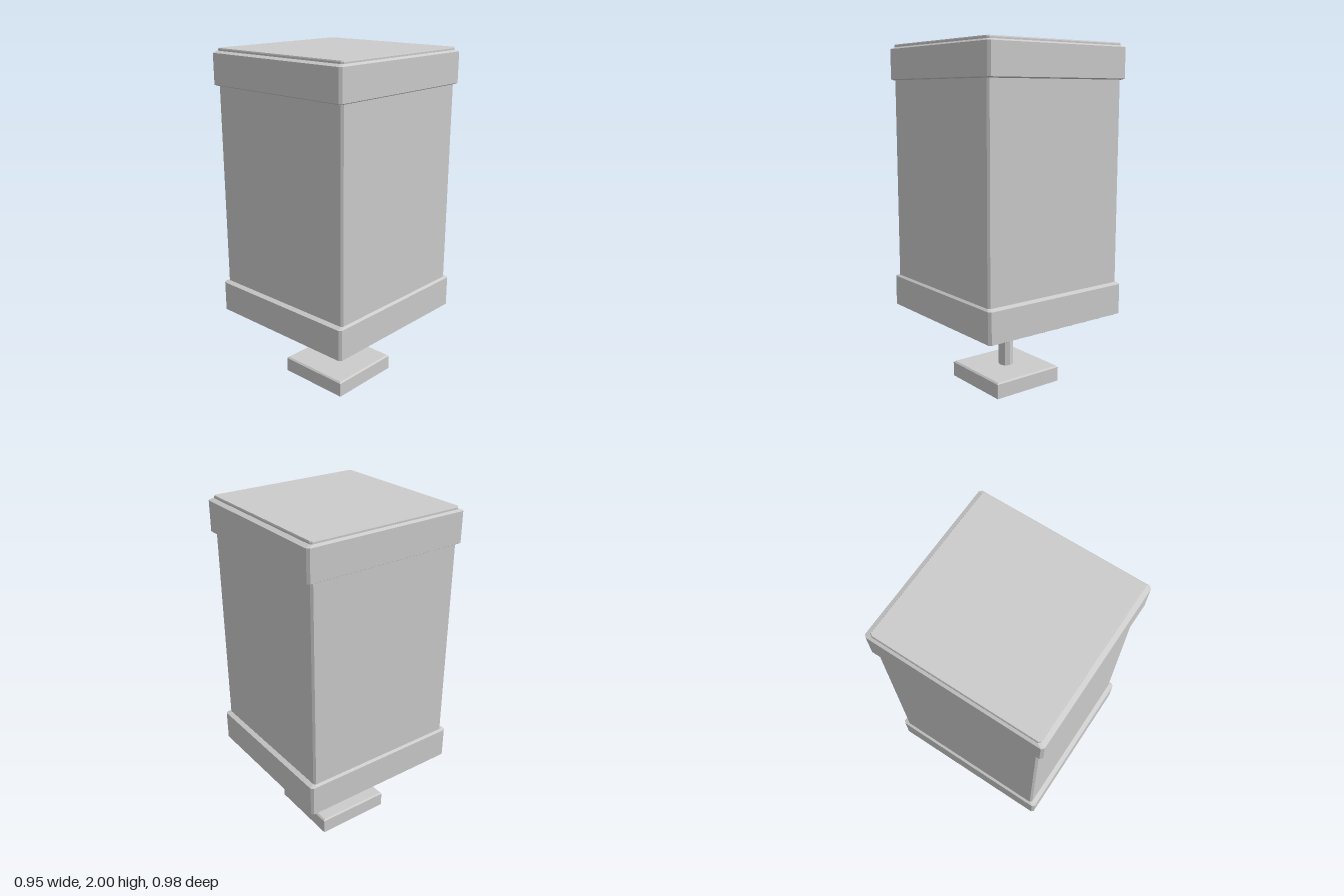
import * as THREE from 'three';

const material = new THREE.MeshStandardMaterial({ color: 0xcccccc, flatShading: true });

// Corners of a rectangle with cut corners, at height y
function ring([y, hx, hz, cut]) {
  const points = [];
  for (const [sx, sz, flip] of [[1, 1, 0], [1, -1, 1], [-1, -1, 0], [-1, 1, 1]]) {
    const pair = [
      new THREE.Vector3(sx * (hx - cut), y, sz * hz),
      new THREE.Vector3(sx * hx, y, sz * (hz - cut)),
    ];
    points.push(...(flip ? pair.reverse() : pair));
  }
  return points;
}

// Closed solid through a stack of sections [y, halfX, halfZ, cornerCut]
function stack(name, sections) {
  const rings = sections.map(ring);
  const verts = [];
  const tri = (a, b, c) => verts.push(...a.toArray(), ...b.toArray(), ...c.toArray());
  const n = 8;
  for (let r = 0; r < rings.length - 1; r++) {
    const lo = rings[r], hi = rings[r + 1];
    for (let i = 0; i < n; i++) {
      const j = (i + 1) % n;
      tri(lo[i], lo[j], hi[j]);
      tri(lo[i], hi[j], hi[i]);
    }
  }
  const bottom = rings[0], top = rings[rings.length - 1];
  for (let i = 1; i < n - 1; i++) {
    tri(bottom[0], bottom[i + 1], bottom[i]);
    tri(top[0], top[i], top[i + 1]);
  }
  const geometry = new THREE.BufferGeometry();
  geometry.setAttribute('position', new THREE.Float32BufferAttribute(verts, 3));
  geometry.computeVertexNormals();
  const mesh = new THREE.Mesh(geometry, material);
  mesh.name = name;
  return mesh;
}

// Raised collar with bevelled upper and lower edges
function band(name, y0, y1) {
  return stack(name, [
    [y0, 0.466, 0.478, 0.01],
    [y0 + 0.006, 0.477, 0.491, 0.013],
    [y1 - 0.01, 0.477, 0.491, 0.013],
    [y1, 0.463, 0.465, 0.01],
  ]);
}

export function createModel() {
  const group = new THREE.Group();

  // Box-shaped housing with narrow cut corners
  group.add(stack('housing', [
    [0.445, 0.463, 0.464, 0.011],
    [1.994, 0.463, 0.464, 0.011],
    [2.0, 0.46, 0.461, 0.01],
  ]));
  group.add(band('lowerBand', 0.437, 0.63));
  group.add(band('upperBand', 1.797, 1.985));

  // Octagonal post
  const post = new THREE.Mesh(new THREE.CylinderGeometry(0.044, 0.044, 0.4, 8), material);
  post.name = 'post';
  post.position.set(0, 0.26, -0.003);
  group.add(post);

  // Square foot plate with a slight top bevel
  const foot = stack('footPlate', [
    [0, 0.228, 0.228, 0.002],
    [0.086, 0.228, 0.228, 0.002],
    [0.094, 0.218, 0.218, 0.002],
  ]);
  foot.position.set(0.005, 0, -0.005);
  group.add(foot);

  return group;
}
